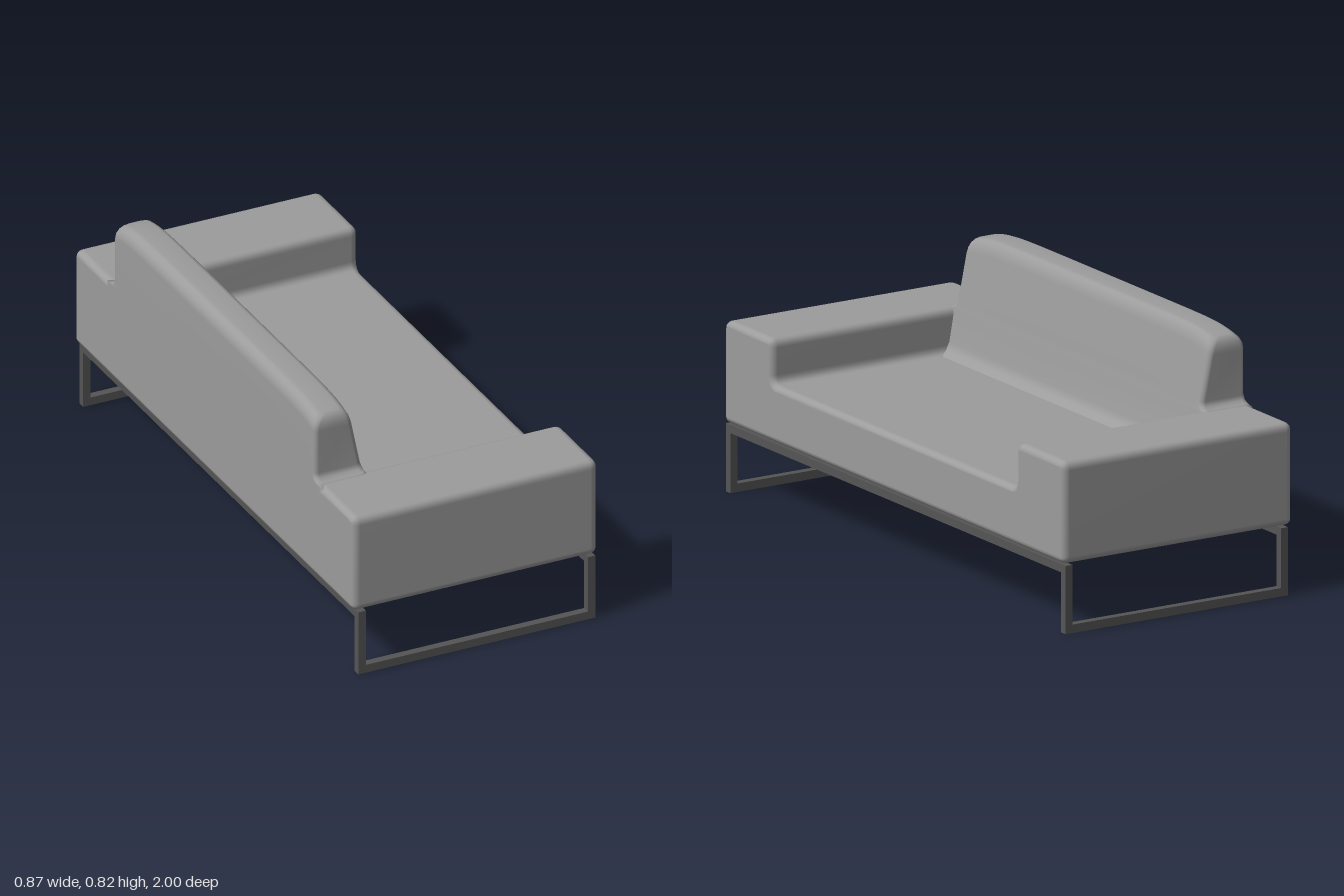
import * as THREE from 'three';
import { mergeVertices } from 'three/addons/utils/BufferGeometryUtils.js';

const fabric = new THREE.MeshStandardMaterial({ color: 0x9c9c9c });
const metal = new THREE.MeshStandardMaterial({ color: 0x555555 });

// Closed shape from corners [x, y, radius], each corner rounded
function roundedShape(corners) {
  const shape = new THREE.Shape();
  const n = corners.length;
  corners.forEach(([x, y, r], i) => {
    const c = new THREE.Vector2(x, y);
    const toward = ([px, py]) => new THREE.Vector2(px, py).sub(c).setLength(r).add(c);
    const a = toward(corners[(i + n - 1) % n]);
    const b = toward(corners[(i + 1) % n]);
    if (i === 0) shape.moveTo(a.x, a.y);
    else shape.lineTo(a.x, a.y);
    shape.quadraticCurveTo(x, y, b.x, b.y);
  });
  shape.closePath();
  return shape;
}

function addMesh(parent, name, geometry, material) {
  const mesh = new THREE.Mesh(geometry, material);
  mesh.name = name;
  parent.add(mesh);
  return mesh;
}

// Seat and both armrests: one U-shaped section run along x, all edges soft
function bodyGeometry() {
  const shape = roundedShape([
    [-1, 0.23, 0.024], [1, 0.23, 0.024], [1, 0.57, 0.03], [0.72, 0.57, 0.03],
    [0.72, 0.42, 0.03], [-0.72, 0.42, 0.03], [-0.72, 0.57, 0.03], [-1, 0.57, 0.03],
  ]);
  const bevel = 0.02, round = 0.025, width = 0.872;
  const geo = new THREE.ExtrudeGeometry(shape, {
    depth: width - 2 * round, curveSegments: 6,
    bevelSize: bevel, bevelThickness: round, bevelOffset: -bevel, bevelSegments: 5,
  });
  geo.translate(0, 0, round - width / 2);
  geo.rotateY(Math.PI / 2);
  geo.deleteAttribute('uv');
  geo.deleteAttribute('normal');
  const smooth = mergeVertices(geo, 1e-5);
  smooth.computeVertexNormals();
  return smooth;
}

// Backrest: stacked rounded outlines, flaring softly into the seat and arms,
// with the top falling away towards the ends
function backGeometry() {
  const back = -0.4365, arm = 0.57, top = 0.82, r = 0.018;
  // [height, back x, front x, half length]
  const levels = [
    [0.30, back, -0.185, 0.775], [0.405, back, -0.185, 0.775], [0.421, back, -0.205, 0.775],
    [0.435, back, -0.228, 0.775], [0.46, back, -0.241, 0.775], [0.565, back, -0.26, 0.775],
    [0.573, back, -0.262, 0.742], [0.583, back, -0.264, 0.728], [0.60, back, -0.267, 0.72],
    [0.77, back, -0.298, 0.72], [0.79, -0.433, -0.304, 0.719], [0.805, -0.425, -0.312, 0.715],
    [0.815, -0.413, -0.322, 0.709], [0.82, -0.40, -0.335, 0.70],
  ];
  // Stations along one side: rounded corner, then the straight run
  const stations = (half) => {
    const list = [];
    for (let k = 0; k <= 4; k++) {
      const a = k * Math.PI / 8;
      list.push([half - r * (1 - Math.cos(a)), r * (1 - Math.sin(a))]);
    }
    for (const f of [0.93, 0.88, 0.82, 0.74, 0.62, 0.4]) list.push([half * f, 0]);
    const mirrored = list.map(([z, inset]) => [-z, inset]).reverse();
    return [...list, [0, 0], ...mirrored];
  };

  const positions = [], index = [];
  for (const [y, xBack, xFront, half] of levels) {
    const side = stations(half);
    const put = (x, z) => {
      const drop = 0.03 * Math.min(1, Math.abs(z) / 0.72) ** 10;
      const rise = Math.max(0, y - arm) / (top - arm);
      positions.push(x, y - drop * rise, z);
    };
    side.forEach(([z, inset]) => put(xFront - inset, z));
    side.reverse().forEach(([z, inset]) => put(xBack + inset, z));
  }
  const ring = positions.length / 3 / levels.length;
  const quad = (a, b, c, d) => index.push(a, b, c, a, c, d);
  for (let i = 0; i < levels.length - 1; i++) {
    for (let j = 0; j < ring; j++) {
      const a = i * ring + j, b = i * ring + (j + 1) % ring;
      quad(a, b, b + ring, a + ring);
    }
  }
  // Top surface, bridged from front to back
  const first = (levels.length - 1) * ring, last = first + ring - 1;
  for (let j = 0; j < ring / 2 - 1; j++) {
    quad(first + j, first + j + 1, last - j - 1, last - j);
  }

  const geo = new THREE.BufferGeometry();
  geo.setAttribute('position', new THREE.Float32BufferAttribute(positions, 3));
  geo.setIndex(index);
  geo.computeVertexNormals();
  return geo;
}

export function createModel() {
  const model = new THREE.Group();
  model.name = 'sofa';

  addMesh(model, 'seatAndArms', bodyGeometry(), fabric);
  addMesh(model, 'backrest', backGeometry(), fabric);

  // Metal frame: two long rails and an open loop of legs under each end
  const frame = new THREE.Group();
  frame.name = 'frame';
  model.add(frame);
  const bar = 0.027, midX = 0.005, legX = 0.409;
  const addBar = (name, w, h, d, x, y, z) =>
    addMesh(frame, name, new THREE.BoxGeometry(w, h, d), metal).position.set(x, y, z);

  for (const sx of [-1, 1]) {
    const x = midX + sx * legX;
    addBar('longRail', bar, bar, 2, x, 0.2125, 0);
    for (const sz of [-1, 1]) addBar('leg', bar, 0.2, bar, x, 0.1, sz * (1 - bar / 2));
  }
  for (const sz of [-1, 1]) {
    addBar('floorRail', 2 * legX + bar, 0.028, bar, midX, 0.014, sz * (1 - bar / 2));
  }
  return model;
}
